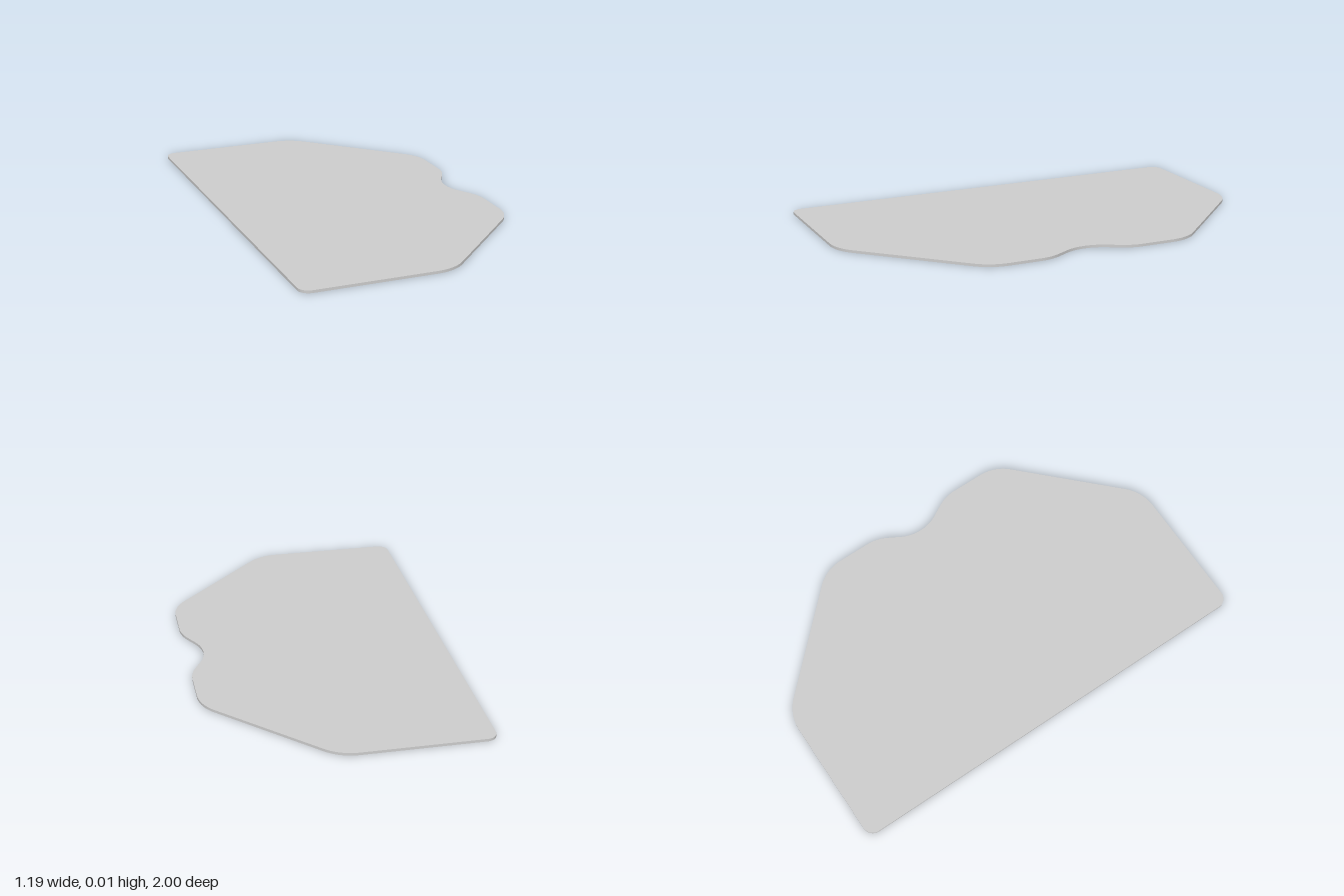
import * as THREE from 'three';
import { toCreasedNormals } from 'three/addons/utils/BufferGeometryUtils.js';

const EDGE = 0.597;      // half width in x
const THICKNESS = 0.012;
const R = 0.2;           // large corner radius
const r = 0.05;          // small back corner radius
const deg = Math.PI / 180;

// Plate outline, drawn counter-clockwise; each absarc joins the last with a straight edge
function plateOutline() {
  const s = new THREE.Shape();
  const cx = EDGE - R;
  const notchX = 0.715;
  // notch, then the lobe, chamfer and square corner on one side
  s.absarc(notchX, 0, R, 210 * deg, 150 * deg, true);
  s.absarc(cx, 0.25, R, -30 * deg, 0, false);
  s.absarc(cx, 0.4, R, 0, 45 * deg, false);
  s.absarc(0, 1 - R, R, 45 * deg, 90 * deg, false);
  s.absarc(-EDGE + r, 1 - r, r, 90 * deg, 180 * deg, false);
  // the same mirrored, back to the notch
  s.absarc(-EDGE + r, -1 + r, r, 180 * deg, 270 * deg, false);
  s.absarc(0, -1 + R, R, 270 * deg, 315 * deg, false);
  s.absarc(cx, -0.4, R, 315 * deg, 360 * deg, false);
  s.absarc(cx, -0.25, R, 0, 30 * deg, false);
  s.closePath();
  return s;
}

export function createModel() {
  const group = new THREE.Group();
  group.name = 'plate';

  // Flat plate lying on the ground
  const geometry = new THREE.ExtrudeGeometry(plateOutline(), {
    depth: THICKNESS, bevelEnabled: false, curveSegments: 12,
  });
  geometry.rotateX(-Math.PI / 2);

  const material = new THREE.MeshStandardMaterial({ color: 0xcccccc });
  const mesh = new THREE.Mesh(toCreasedNormals(geometry, 30 * deg), material);
  mesh.name = 'tabletop';
  group.add(mesh);
  return group;
}
